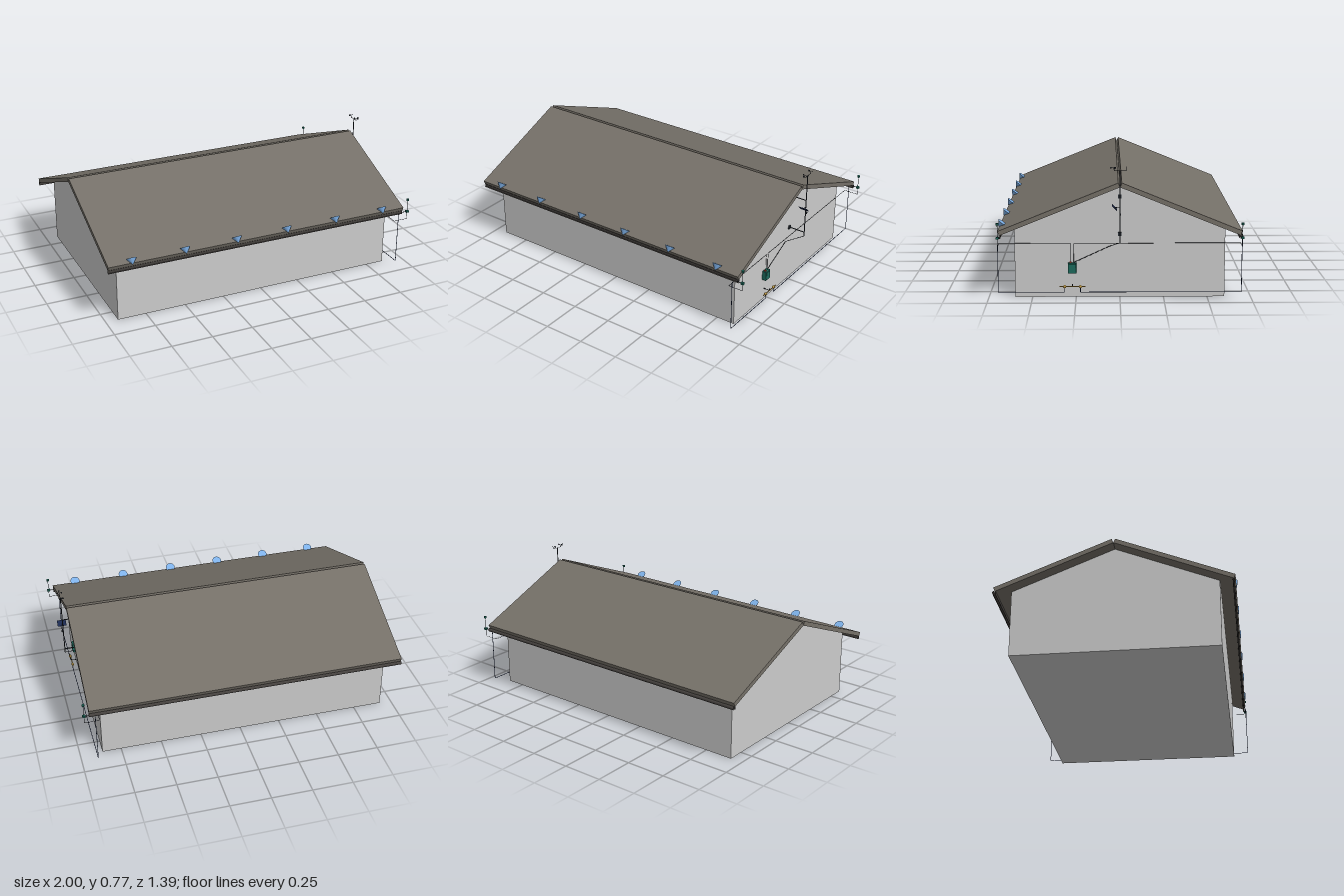
import * as THREE from 'three';

export function createModel() {
  const root = new THREE.Group();
  root.name = 'instrumentedHouse';
  const mat = (color, opts = {}) => new THREE.MeshStandardMaterial({ color, ...opts });
  const wallMat = mat(0xcccccc);
  const roofMat = mat(0x757068);
  const gutterMat = mat(0x45413e, { side: THREE.DoubleSide });
  const lampMat = mat(0x7fb2ea);
  const metal = mat(0x2a3038);
  const navy = mat(0x1c2a50);
  const teal = mat(0x1c6a5c);
  const brass = mat(0xc09a45);
  const red = mat(0xb03a2a);

  const add = (name, geo, material, x = 0, y = 0, z = 0, parent = root) => {
    const m = new THREE.Mesh(geo, material);
    m.name = name;
    m.position.set(x, y, z);
    parent.add(m);
    return m;
  };
  const box = (name, w, h, d, material, x, y, z, parent) =>
    add(name, new THREE.BoxGeometry(w, h, d), material, x, y, z, parent);
  const ball = (name, r, material, x, y, z, parent) =>
    add(name, new THREE.SphereGeometry(r, 12, 8), material, x, y, z, parent);

  // Extrude a [z, y] outline along x
  const extrudeX = (name, pts, x0, x1, material) => {
    const shape = new THREE.Shape(pts.map(([z, y]) => new THREE.Vector2(-z, y)));
    const geo = new THREE.ExtrudeGeometry(shape, { depth: x1 - x0, bevelEnabled: false });
    geo.rotateY(Math.PI / 2);
    return add(name, geo, material, x0, 0, 0);
  };

  // Straight round rods joining a list of points
  const run = (name, pts, r, material, parent = root) => {
    const path = new THREE.CurvePath();
    const v = pts.map((p) => new THREE.Vector3(...p));
    for (let i = 1; i < v.length; i++) path.add(new THREE.LineCurve3(v[i - 1], v[i]));
    const g = new THREE.Group();
    g.name = name;
    path.curves.forEach((c) => add(name + 'Segment', new THREE.TubeGeometry(c, 1, r, 8), material, 0, 0, 0, g));
    parent.add(g);
    return g;
  };

  // House body with gable ends
  extrudeX('walls', [[0.6, 0], [0.6, 0.405], [0, 0.65], [-0.6, 0.405], [-0.6, 0]], -0.925, 0.865, wallMat);

  for (const s of [1, -1]) {
    const side = s > 0 ? 'front' : 'back';
    // Roof slab, square-cut at ridge and eave
    extrudeX(side + 'Roof', [[0, 0.65], [s * 0.01, 0.675], [s * 0.69, 0.4], [s * 0.68, 0.375]], -1, 0.94, roofMat);

    // Half-round gutter under the eave
    const gutter = new THREE.CylinderGeometry(0.011, 0.011, 1.94, 12, 1, true, Math.PI / 2, Math.PI);
    gutter.rotateZ(Math.PI / 2);
    gutter.rotateX(Math.PI);
    const pos = gutter.attributes.position;
    // Keep the open side upwards whichever way the arc was laid out
    gutter.computeBoundingBox();
    if (gutter.boundingBox.max.y > 0.005) gutter.rotateX(Math.PI);
    pos.needsUpdate = true;
    add(side + 'Gutter', gutter, gutterMat, -0.03, 0.367, s * 0.684);
    box(side + 'Fascia', 1.94, 0.02, 0.003, gutterMat, -0.03, 0.367, s * 0.676);

    // Eave sensor on a short post
    const sensor = new THREE.Group();
    sensor.name = side + 'EaveSensor';
    root.add(sensor);
    run('bracket', [[0.93, 0.368, s * 0.687], [0.97, 0.368, s * 0.687]], 0.002, metal, sensor);
    run('post', [[0.97, 0.36, s * 0.687], [0.97, 0.45, s * 0.687]], 0.0015, metal, sensor);
    box('junctionBox', 0.018, 0.012, 0.016, teal, 0.97, 0.368, s * 0.687, sensor);
    add('sensorHead', new THREE.CylinderGeometry(0.009, 0.007, 0.012, 12), teal, 0.97, 0.447, s * 0.687, sensor);

    // Signal cable to the control box
    const zc = s > 0 ? 0.28 : 0.262;
    run(side + 'SignalCable', [[0.97, 0.368, s * 0.687], [0.97, 0.318, s * 0.687], [0.88, 0.318, s * 0.687],
      [0.88, 0.318, zc], [0.88, 0.2, zc]], 0.0013, metal);

    // Water pipe from the gutter down to the valve bar
    const zv = 0.27 + s * 0.045;
    run(side + 'WaterPipe', [[0.905, 0.36, s * 0.693], [0.905, 0.038, s * 0.693],
      [0.905, 0.038, zv], [0.905, 0.07, zv]], 0.0018, navy);
    ball(side + 'Valve', 0.009, brass, 0.905, 0.07, zv);
  }

  // Valve bar and its handle
  run('valveBar', [[0.905, 0.07, 0.345], [0.905, 0.07, 0.197]], 0.0028, brass);
  run('valveSupply', [[0.865, 0.07, 0.27], [0.905, 0.07, 0.27], [0.905, 0.086, 0.27]], 0.002, metal);

  // Control box on the gable
  box('controlBox', 0.028, 0.058, 0.046, teal, 0.877, 0.174, 0.272);
  box('controlBoxDoor', 0.003, 0.048, 0.037, teal, 0.892, 0.174, 0.272);
  box('indicator', 0.01, 0.008, 0.012, red, 0.878, 0.207, 0.282);

  // Row of cones along the front eave, open end tilted back to the roof
  for (let i = 0; i < 6; i++) {
    const cone = add('eaveCone' + (i + 1), new THREE.ConeGeometry(0.03, 0.038, 24), lampMat,
      -0.855 + i * 0.329, 0.406, 0.683);
    cone.rotation.x = Math.PI - 0.62;
  }

  // Weather mast beside the gable
  const mast = new THREE.Group();
  mast.name = 'weatherMast';
  root.add(mast);
  run('pole', [[0.97, 0.34, 0], [0.97, 0.75, 0]], 0.003, metal, mast);
  for (const y of [0.585, 0.367]) {
    run('wallArm', [[0.865, y, 0], [0.97, y, 0]], 0.003, metal, mast);
    box('wallPlate', 0.006, 0.022, 0.02, metal, 0.868, y, 0, mast);
  }
  box('collar', 0.01, 0.012, 0.008, metal, 0.975, 0.503, 0, mast);
  run('crossArm', [[0.97, 0.75, 0.034], [0.97, 0.75, -0.034]], 0.0015, metal, mast);

  // Cup wind gauge
  run('gaugeStem', [[0.97, 0.75, 0.034], [0.97, 0.765, 0.034]], 0.0015, metal, mast);
  for (let i = 0; i < 3; i++) {
    const a = Math.PI / 2 + (i * Math.PI * 2) / 3;
    const x = 0.97 + Math.cos(a) * 0.015, z = 0.036 + Math.sin(a) * 0.015;
    run('cupArm', [[0.97, 0.765, 0.036], [x, 0.765, z]], 0.001, metal, mast);
    ball('cup', 0.0045, metal, x, 0.765, z, mast);
  }

  // Wind vane
  run('vaneStem', [[0.97, 0.75, -0.034], [0.97, 0.764, -0.034]], 0.0015, metal, mast);
  run('vaneRod', [[0.955, 0.766, -0.034], [0.985, 0.766, -0.034]], 0.001, metal, mast);
  box('vaneTail', 0.012, 0.01, 0.0015, metal, 0.959, 0.766, -0.034, mast);

  // Tilted solar panel
  run('panelArm', [[0.97, 0.54, 0], [0.97, 0.542, 0.03]], 0.002, metal, mast);
  const panel = box('solarPanel', 0.054, 0.003, 0.038, navy, 0.972, 0.542, 0.031, mast);
  panel.rotation.x = -0.78;

  // Cable from mast foot to control box
  run('mastCable', [[0.97, 0.34, 0], [0.88, 0.3, 0.06], [0.88, 0.205, 0.265]], 0.0018, metal);

  return root;
}
